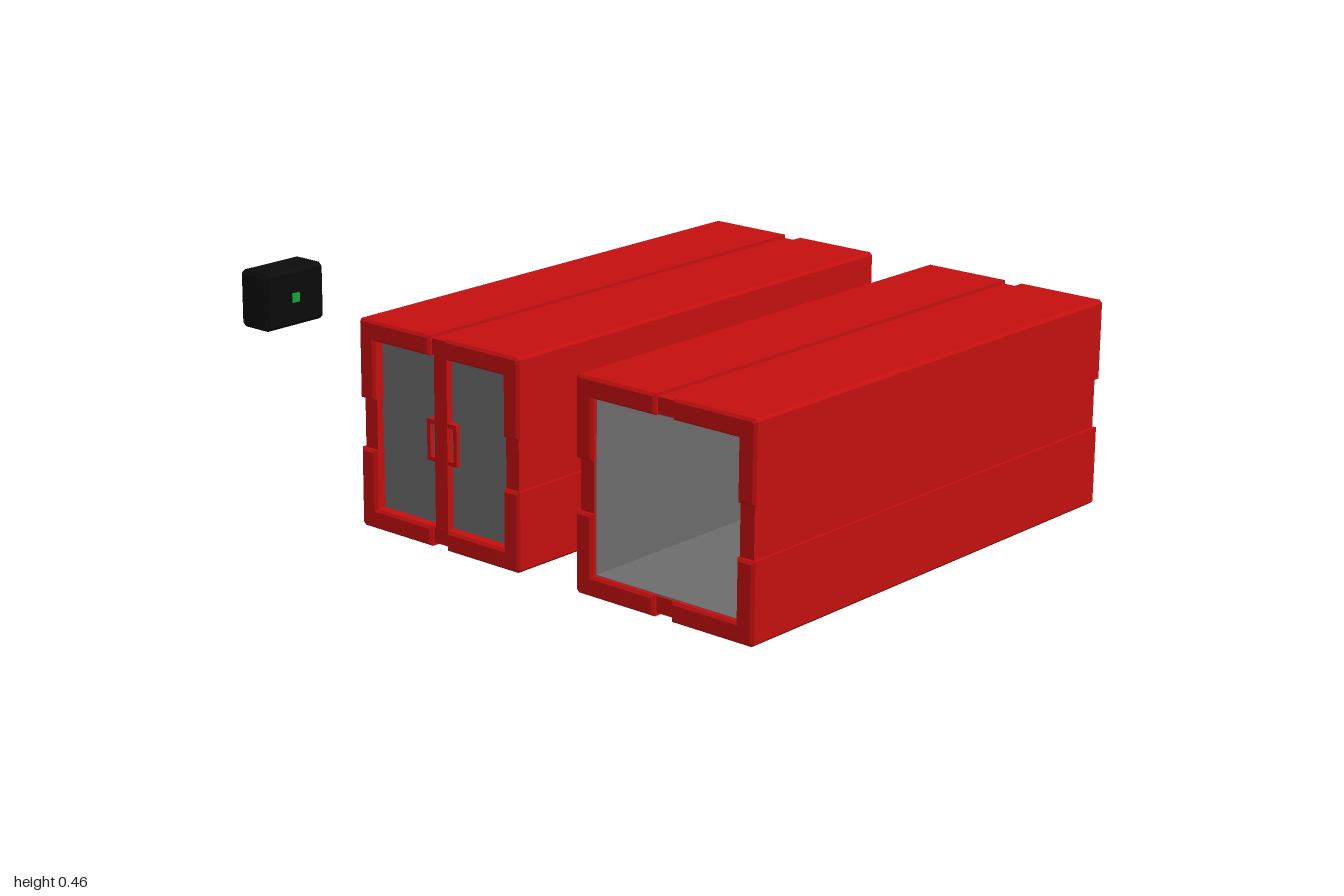
import * as THREE from 'three';

const material = (color) => new THREE.MeshStandardMaterial({ color, flatShading: true });
const red = material(0xc40f0f);
const grey = material(0x6c6c6c);
const black = material(0x0b0b0b);
const green = material(0x12a63a);

const HALF = 0.229;   // half height and half width of a container
const END = 0.587;    // half length over the corner rails
const BODY_END = 0.577;

function add(parent, name, geometry, mat, x = 0, y = 0, z = 0) {
  const mesh = new THREE.Mesh(geometry, mat);
  mesh.name = name;
  mesh.position.set(x, y, z);
  parent.add(mesh);
  return mesh;
}

const rect = (w, h, Type = THREE.Shape) => new Type(
  [[-w, -h], [w, -h], [w, h], [-w, h]].map(([x, y]) => new THREE.Vector2(x, y)));

// Extrude a cross-section along x, centred, with optional chamfered ends
function extrudeX(shape, halfLength, bevel = 0) {
  const depth = 2 * (halfLength - bevel);
  return new THREE.ExtrudeGeometry(shape, {
    depth, steps: 1, bevelEnabled: bevel > 0, bevelSegments: 1,
    bevelSize: bevel, bevelThickness: bevel, bevelOffset: -bevel,
  }).translate(0, 0, -depth / 2).rotateY(Math.PI / 2);
}

// Square tube running along x
function tube(outer, inner, halfLength) {
  const shape = rect(outer, outer);
  shape.holes.push(rect(inner, inner, THREE.Path));
  return extrudeX(shape, halfLength);
}

// Red shell: a tube with four raised L-shaped rails, leaving grooves between
function createContainer(name, z) {
  const group = new THREE.Group();
  group.name = name;
  group.position.set(0, HALF, z);
  add(group, 'shell', tube(HALF - 0.007, 0.187, BODY_END), red);
  const c = HALF - 0.006;
  const profile = [[0.022, HALF], [c, HALF], [HALF, c], [HALF, 0.055],
    [0.185, 0.055], [0.185, 0.185], [0.022, 0.185]];
  for (const sz of [-1, 1]) for (const sy of [-1, 1]) {
    const shape = new THREE.Shape(profile.map(([a, b]) => new THREE.Vector2(a * sz, b * sy)));
    add(group, 'cornerRail', extrudeX(shape, END, 0.006), red);
  }
  return group;
}

// Double door with a centre post and a pair of bracket handles
function createDoors(side) {
  const doors = new THREE.Group();
  doors.name = side > 0 ? 'leftEndDoors' : 'rightEndDoors';
  const box = (name, mat, x0, x1, h, w, y, z) => add(doors, name,
    new THREE.BoxGeometry(x1 - x0, h, w), mat, side * (x0 + x1) / 2, y, z);
  box('centrePost', red, 0.54, 0.576, 0.374, 0.036, 0, 0);
  for (const s of [-1, 1]) {
    box('doorPanel', grey, 0.545, 0.56, 0.374, 0.172, 0, s * 0.102);
    box('handleGrip', red, 0.565, 0.574, 0.09, 0.009, 0, s * 0.038);
    for (const y of [-0.0405, 0.0405])
      box('handleArm', red, 0.555, 0.574, 0.009, 0.024, y, s * 0.0265);
  }
  return doors;
}

export function createModel() {
  const model = new THREE.Group();
  model.name = 'containerSet';

  // Open-ended container with a grey lining
  const open = createContainer('openContainer', 0.771);
  add(open, 'lining', tube(0.19, 0.184, BODY_END - 0.004), grey);
  model.add(open);

  // Closed container with doors at both ends
  const closed = createContainer('closedContainer', 0.157);
  closed.add(createDoors(1), createDoors(-1));
  model.add(closed);

  // Small chamfered control box with a green light on front and back
  const control = new THREE.Group();
  control.name = 'controlBox';
  control.position.set(0, 0.235, -0.9525);
  const w = 0.0475, h = 0.071, k = 0.009;
  const outline = [[w, h - k], [w - k, h], [k - w, h], [-w, h - k],
    [-w, k - h], [k - w, -h], [w - k, -h], [w, k - h]];
  const shape = new THREE.Shape(outline.map(([a, b]) => new THREE.Vector2(a, b)));
  add(control, 'casing', extrudeX(shape, 0.095, 0.009), black);
  for (const s of [-1, 1])
    add(control, 'light', new THREE.BoxGeometry(0.024, 0.024, 0.004), green, 0, 0, s * (w - 0.0012));
  model.add(control);

  return model;
}
